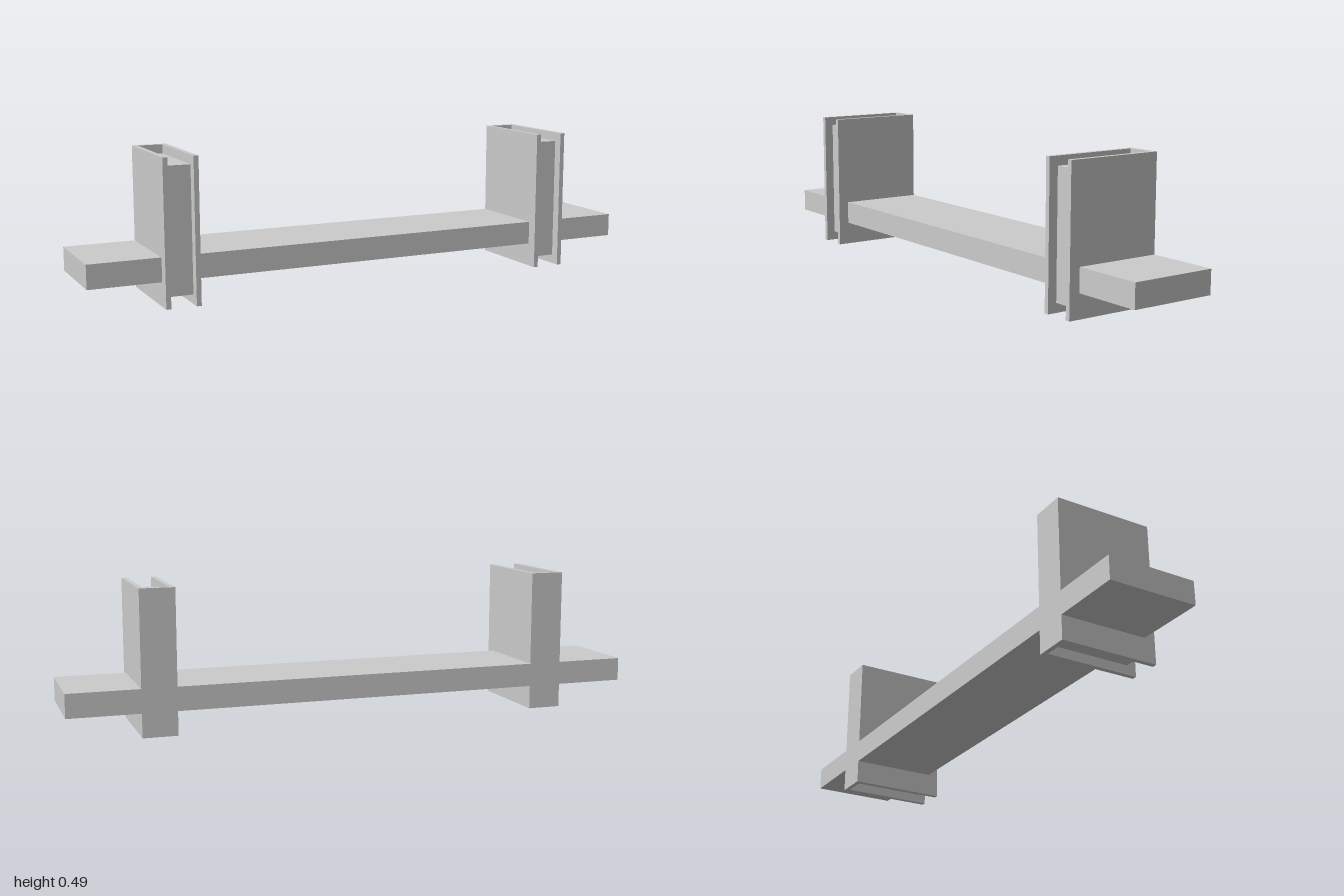
import * as THREE from 'three';

const HEIGHT = 0.488, DEPTH = 0.342, WIDTH = 0.118, WALL = 0.0165;

export function createModel() {
  const model = new THREE.Group();
  const material = new THREE.MeshStandardMaterial({ color: 0xcccccc, flatShading: true });

  function box(name, parent, [x0, x1], [y0, y1], [z0, z1]) {
    const mesh = new THREE.Mesh(new THREE.BoxGeometry(x1 - x0, y1 - y0, z1 - z0), material);
    mesh.position.set((x0 + x1) / 2, (y0 + y1) / 2, (z0 + z1) / 2);
    mesh.name = name;
    parent.add(mesh);
  }

  // Long shelf board, flush with the back of the uprights
  box('shelfBoard', model, [-1, 1], [0.082, 0.163], [-DEPTH / 2, 0.133]);

  // U-shaped channel outline: closed at the back, open at the front
  const w = WIDTH / 2, d = DEPTH / 2;
  const channel = new THREE.Shape([
    [-w, d], [w, d], [w, -d], [w - WALL, -d], [w - WALL, d - WALL],
    [-w + WALL, d - WALL], [-w + WALL, -d], [-w, -d],
  ].map(([x, y]) => new THREE.Vector2(x, y)));
  const channelGeometry = new THREE.ExtrudeGeometry(channel, { depth: HEIGHT, bevelEnabled: false });
  channelGeometry.rotateX(-Math.PI / 2);

  // Two uprights, each a channel around a recessed core
  for (const side of [-1, 1]) {
    const upright = new THREE.Group();
    upright.name = side > 0 ? 'leftUpright' : 'rightUpright';
    upright.position.x = side * 0.698;
    const shell = new THREE.Mesh(channelGeometry, material);
    shell.name = 'channel';
    upright.add(shell);
    box('core', upright, [-w + WALL, w - WALL], [0.032, 0.457], [-d + WALL, 0.139]);
    model.add(upright);
  }
  return model;
}
